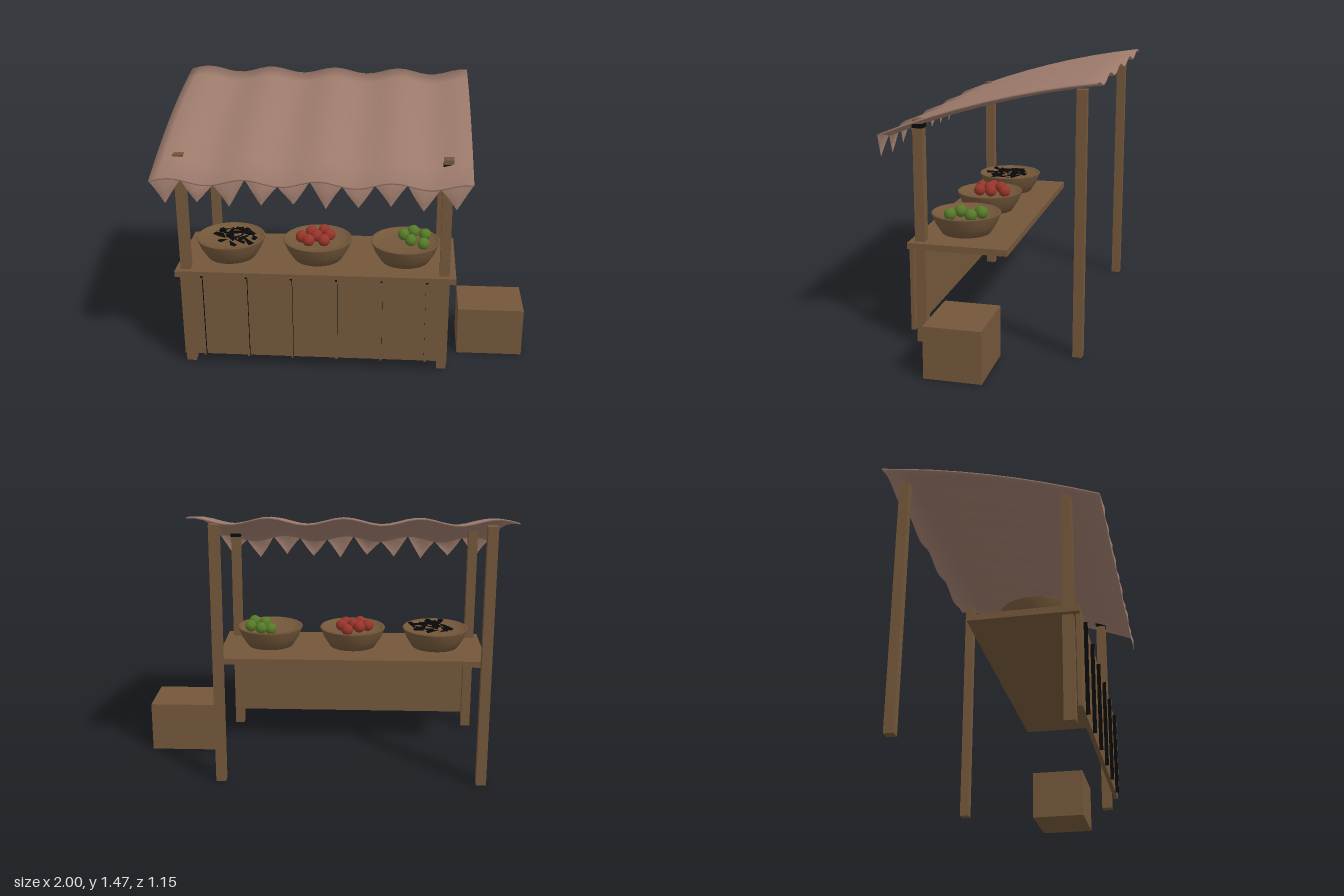
import * as THREE from 'three';
import { mergeVertices } from 'three/addons/utils/BufferGeometryUtils.js';

const mat = (name, color) => {
  const m = new THREE.MeshStandardMaterial({ color });
  m.name = name;
  return m;
};

export function createModel() {
  const root = new THREE.Group();
  root.name = 'marketStall';
  const wood = mat('wood', 0x73573a);
  const cloth = mat('cloth', 0x9c7a6b);
  const red = mat('red fruit', 0x96342a);
  const green = mat('green fruit', 0x567a28);
  const dark = mat('dark', 0x0a0a0a);
  cloth.side = wood.side = dark.side = THREE.DoubleSide;

  const add = (name, geo, material, x = 0, y = 0, z = 0, parent = root) => {
    const m = new THREE.Mesh(geo, material);
    m.name = name;
    m.position.set(x, y, z);
    parent.add(m);
    return m;
  };
  // Box given by its minimum and maximum corners
  const box = (name, x0, x1, y0, y1, z0, z1, material = wood) =>
    add(name, new THREE.BoxGeometry(x1 - x0, y1 - y0, z1 - z0), material,
      (x0 + x1) / 2, (y0 + y1) / 2, (z0 + z1) / 2);

  // Posts
  for (const [x, top] of [[-0.88, 1.238], [0.537, 1.236]]) {
    box('frontPost', x - 0.027, x + 0.027, 0, top, 0.347, 0.402);
    box('backPost', x - 0.027, x + 0.027, 0, 1.42, -0.512, -0.46);
  }
  box('postCap', 0.508, 0.566, 1.19, 1.213, 0.345, 0.404, dark);

  // Counter, front panel with battens, and crate
  box('counter', -0.935, 0.6, 0.54, 0.575, -0.115, 0.435);
  box('frontPanel', -0.905, 0.565, 0.067, 0.545, 0.413, 0.435);
  for (let i = 0; i < 6; i++) {
    const x = -0.786 + i * 0.246;
    box('batten', x - 0.006, x + 0.006, 0.07, 0.55, 0.435, 0.455, [dark, dark, dark, dark, wood, dark]);
  }
  box('crate', 0.63, 1, 0, 0.28, -0.087, 0.218);

  // Bowls
  const bowlProfile = [[0, 0.575], [0.135, 0.575], [0.17, 0.63], [0.193, 0.686], [0.19, 0.69],
    [0.178, 0.69], [0.165, 0.672], [0.12, 0.664], [0, 0.66]].map(p => new THREE.Vector2(...p));
  for (const x of [-0.66, -0.17, 0.32])
    add('bowl', new THREE.LatheGeometry(bowlProfile, 40), wood, x, 0, 0.188);

  // Fruit
  const ball = new THREE.SphereGeometry(0.034, 16, 12);
  const pile = (name, material, spots) =>
    spots.forEach(([x, y, z]) => add(name, ball, material, x, y, z));
  pile('redFruit', red, [[-0.26, 0.695, 0.19], [-0.215, 0.7, 0.25], [-0.21, 0.702, 0.13],
    [-0.175, 0.704, 0.19], [-0.13, 0.698, 0.24], [-0.14, 0.695, 0.09], [-0.105, 0.702, 0.165]]);
  pile('greenFruit', green, [[0.43, 0.702, 0.13], [0.35, 0.7, 0.21], [0.365, 0.702, 0.085],
    [0.31, 0.69, 0.11], [0.42, 0.698, 0.25]]);

  // Heap of dark dried goods: flat jagged flakes
  let seed = 7;
  const rnd = () => (seed = (seed * 16807) % 2147483647) / 2147483647;
  for (let i = 0; i < 22; i++) {
    const a = i * 2.4, r = 0.11 * Math.sqrt(i / 22);
    const flake = add('driedGoods', new THREE.ConeGeometry(0.02, 0.085, 4), dark,
      -0.635 + r * Math.cos(a), 0.706 - r * 0.15, 0.188 + r * Math.sin(a));
    flake.scale.z = 0.45;
    flake.rotation.set(Math.PI / 2 + (rnd() - 0.5) * 0.5, (rnd() - 0.5) * 0.6, rnd() * 6.28);
  }

  // Cloth roof: a thin sheet, curved front to back and rippled across
  const roofY = (x, z) => 1.335 - 0.272 * z - 0.121 * z * z
    + 0.017 * Math.cos((2 * Math.PI * (x + 0.895)) / 0.383);
  const X0 = -1, X1 = 0.66, Z0 = -0.58, Z1 = 0.56;
  let roof = new THREE.BoxGeometry(X1 - X0, 0.008, Z1 - Z0, 36, 1, 8);
  roof.deleteAttribute('normal');
  roof.deleteAttribute('uv');
  roof = mergeVertices(roof);
  roof.translate((X0 + X1) / 2, 0, (Z0 + Z1) / 2);
  const p = roof.attributes.position;
  for (let i = 0; i < p.count; i++) p.setY(i, p.getY(i) + roofY(p.getX(i), p.getZ(i)));
  roof.computeVertexNormals();
  // Soften the rim by leaning its normals outward
  const n = roof.attributes.normal, v = new THREE.Vector3();
  for (let i = 0; i < p.count; i++) {
    v.fromBufferAttribute(n, i);
    const x = p.getX(i), z = p.getZ(i);
    if (x < X0 + 1e-4) v.x -= 1;
    if (x > X1 - 1e-4) v.x += 1;
    if (z < Z0 + 1e-4) v.z -= 1;
    if (z > Z1 - 1e-4) v.z += 1;
    v.normalize();
    n.setXYZ(i, v.x, v.y, v.z);
  }
  add('clothRoof', roof, cloth);

  // Pointed valance: ten bulging teeth along the front edge
  const teeth = 10, w = (X1 - X0) / teeth, steps = 6;
  for (let t = 0; t < teeth; t++) {
    const mid = X0 + (t + 0.5) * w, pos = [], idx = [];
    const tipY = 1.03 + 0.012 * Math.sin(t * 2.1);
    for (let j = 0; j <= 3; j++)
      for (let i = 0; i <= steps; i++) {
        const s = (i / steps) * 2 - 1, f = j / 3;
        const x = mid + s * 0.5 * w * (1 - f) * 0.97;
        const top = roofY(x, Z1) - 0.002;
        pos.push(x, top + (tipY - top) * f, Z1 - 0.002 + 0.016 * f + 0.014 * (1 - s * s) * Math.min(1, f * 3) * (1 - f));
      }
    for (let j = 0; j < 3; j++)
      for (let i = 0; i < steps; i++) {
        const a = j * (steps + 1) + i, b = a + steps + 1;
        idx.push(a, b, a + 1);
        if (j < 2) idx.push(b, b + 1, a + 1);
      }
    const g = new THREE.BufferGeometry();
    g.setAttribute('position', new THREE.Float32BufferAttribute(pos, 3));
    g.setIndex(idx);
    g.computeVertexNormals();
    add('valanceTooth', g, cloth);
  }
  return root;
}
